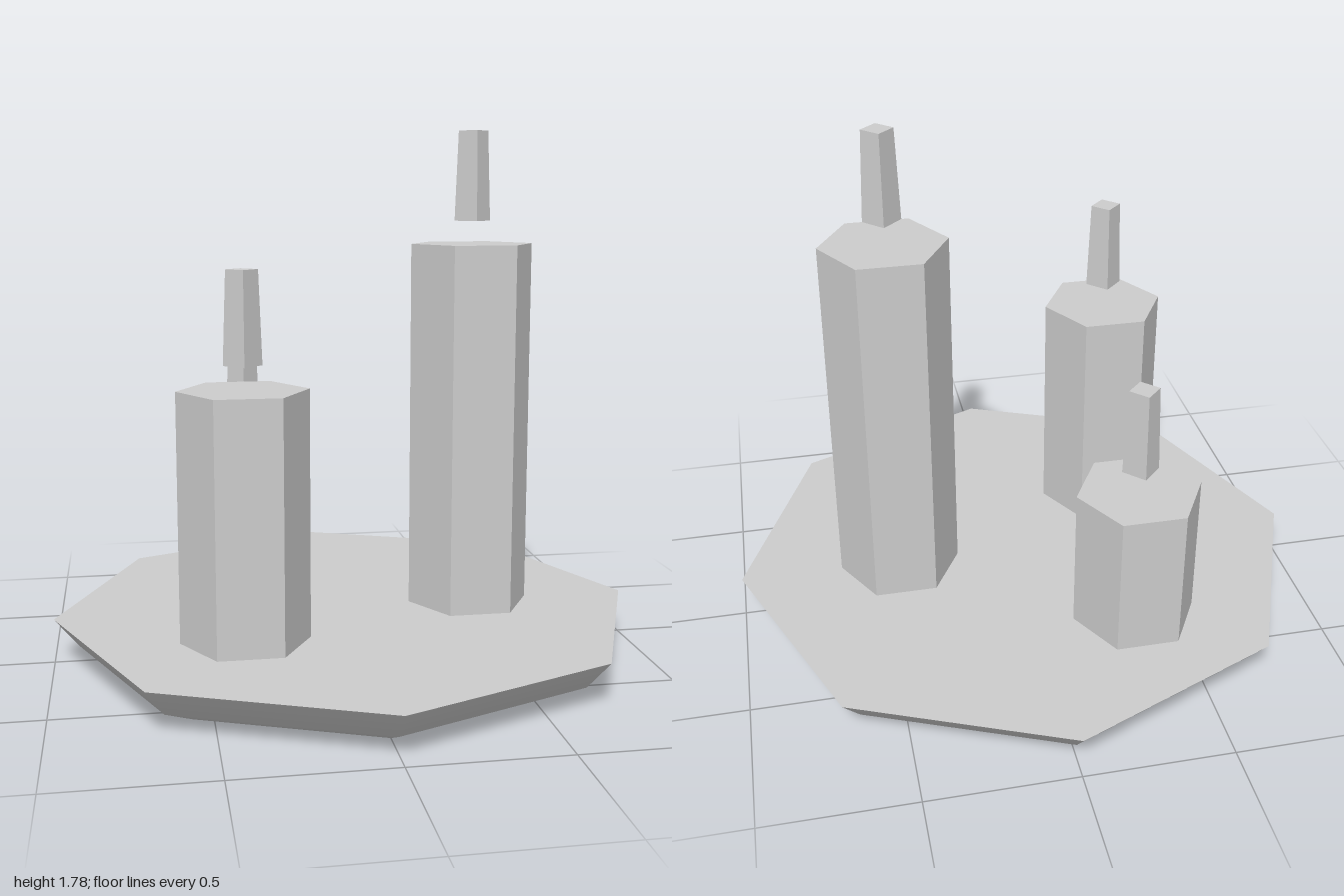
import * as THREE from 'three';

export function createModel() {
  const model = new THREE.Group();
  model.name = 'candlePlate';
  const grey = new THREE.MeshStandardMaterial({ color: 0xcccccc });
  grey.name = 'light grey';
  const greyFlat = grey.clone();
  greyFlat.flatShading = true;

  const add = (parent, name, geometry, material, x = 0, y = 0, z = 0) => {
    const mesh = new THREE.Mesh(geometry, material);
    mesh.name = name;
    mesh.position.set(x, y, z);
    parent.add(mesh);
    return mesh;
  };

  // Eight-sided dish with a smooth underside and a flat top
  const plateTop = 0.15;
  const profile = [[0, 0], [0.8, 0], [0.92, 0.055], [1, plateTop]]
    .map(([r, y]) => new THREE.Vector2(r, y));
  add(model, 'plateUnderside', new THREE.LatheGeometry(profile, 8), grey);
  add(model, 'plateTop', new THREE.CircleGeometry(1, 8).rotateX(-Math.PI / 2), greyFlat, 0, plateTop, 0);

  // Hexagonal candles, each with a tapered wick hovering just above
  const wickGap = 0.077, wickHeight = 0.3;
  const candles = [
    ['tallCandle', 0.435, 0, 1.403],
    ['mediumCandle', -0.378, 0.31, 0.965],
    ['shortCandle', -0.315, -0.44, 0.653],
  ];
  for (const [name, x, z, top] of candles) {
    const candle = new THREE.Group();
    candle.name = name;
    candle.position.set(x, 0, z);
    const height = top - plateTop;
    add(candle, 'wax', new THREE.CylinderGeometry(0.211, 0.211, height, 6, 1, false, Math.PI / 6),
      greyFlat, 0, plateTop + height / 2, 0);
    add(candle, 'wick', new THREE.CylinderGeometry(0.051, 0.062, wickHeight, 4),
      greyFlat, 0, top + wickGap + wickHeight / 2, 0);
    model.add(candle);
  }
  return model;
}
